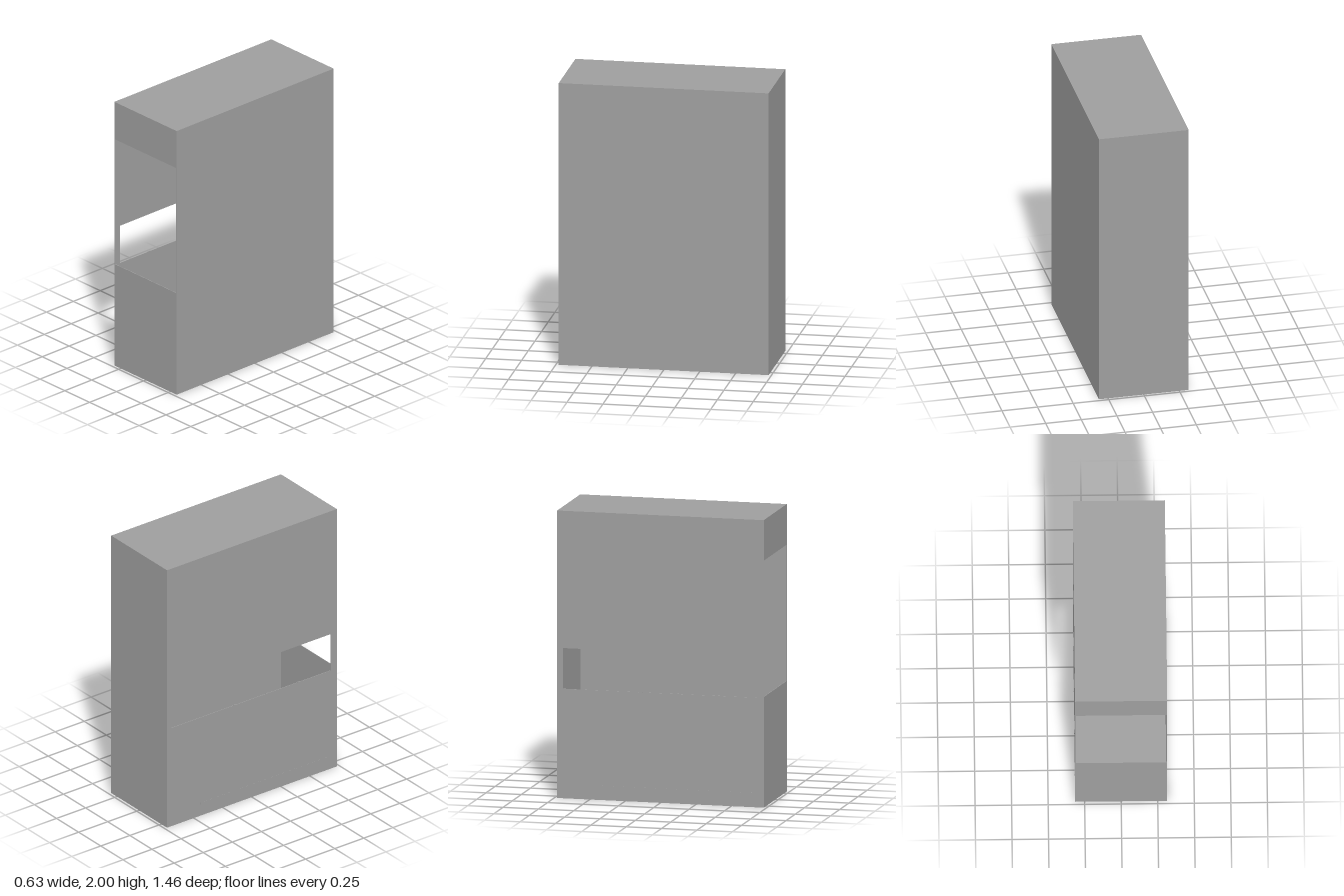
import * as THREE from 'three';

const W = 0.63, H = 2, D = 1.46, T = 0.004;
const OUT = 0.001; // how far the trim stands proud of the service wall

export function createModel() {
  const group = new THREE.Group();
  const material = new THREE.MeshStandardMaterial({ color: 0x9e9e9e });

  const add = (name, geometry, x, y, z) => {
    const mesh = new THREE.Mesh(geometry, material);
    mesh.name = name;
    mesh.position.set(x, y, z);
    group.add(mesh);
    return mesh;
  };
  const box = (name, w, h, d, x, y, z) => add(name, new THREE.BoxGeometry(w, h, d), x, y, z);

  // Upright panel, centred on its width, with one rectangular opening
  const openPanel = (width, [x0, x1, y0, y1]) => {
    const shape = new THREE.Shape([
      new THREE.Vector2(-width / 2, 0), new THREE.Vector2(width / 2, 0),
      new THREE.Vector2(width / 2, H), new THREE.Vector2(-width / 2, H),
    ]);
    shape.holes.push(new THREE.Path([
      new THREE.Vector2(x0, y0), new THREE.Vector2(x0, y1),
      new THREE.Vector2(x1, y1), new THREE.Vector2(x1, y0),
    ]));
    return new THREE.ExtrudeGeometry(shape, { depth: T, bevelEnabled: false });
  };

  // Closed sides of the shell
  box('floor', W, T, D, 0, T / 2, 0);
  box('roof', W, T, D, 0, H - T / 2, 0);
  box('backWall', W, H - 2 * T, T, 0, H / 2, -D / 2 + T / 2);
  box('leftWall', T, H - 2 * T, D - 2 * T, W / 2 - T / 2, H / 2, 0);

  // Front wall with its tall opening
  add('frontWall', openPanel(W, [-0.31, 0.31, 0.77, 1.718]), 0, 0, D / 2 - T);

  // Right wall with the long serving window
  const rightWall = add('rightWall', openPanel(D, [-0.69, 0.68, 0.762, 1.045]), -W / 2 + T, 0, 0);
  rightWall.rotation.y = -Math.PI / 2;

  // Uprights dividing the wall below the window, visible inside and out
  const trimW = T + 2 * OUT, trimX = -W / 2 + T / 2;
  for (const z of [-0.142, 0.133, 0.408]) {
    box('upright', trimW, 0.674, 0.025, trimX, 0.427, z);
  }

  // Low rail at the foot of the uprights
  box('bottomRail', trimW, 0.016, 1.115, trimX, 0.092, 0.1175);

  return group;
}
